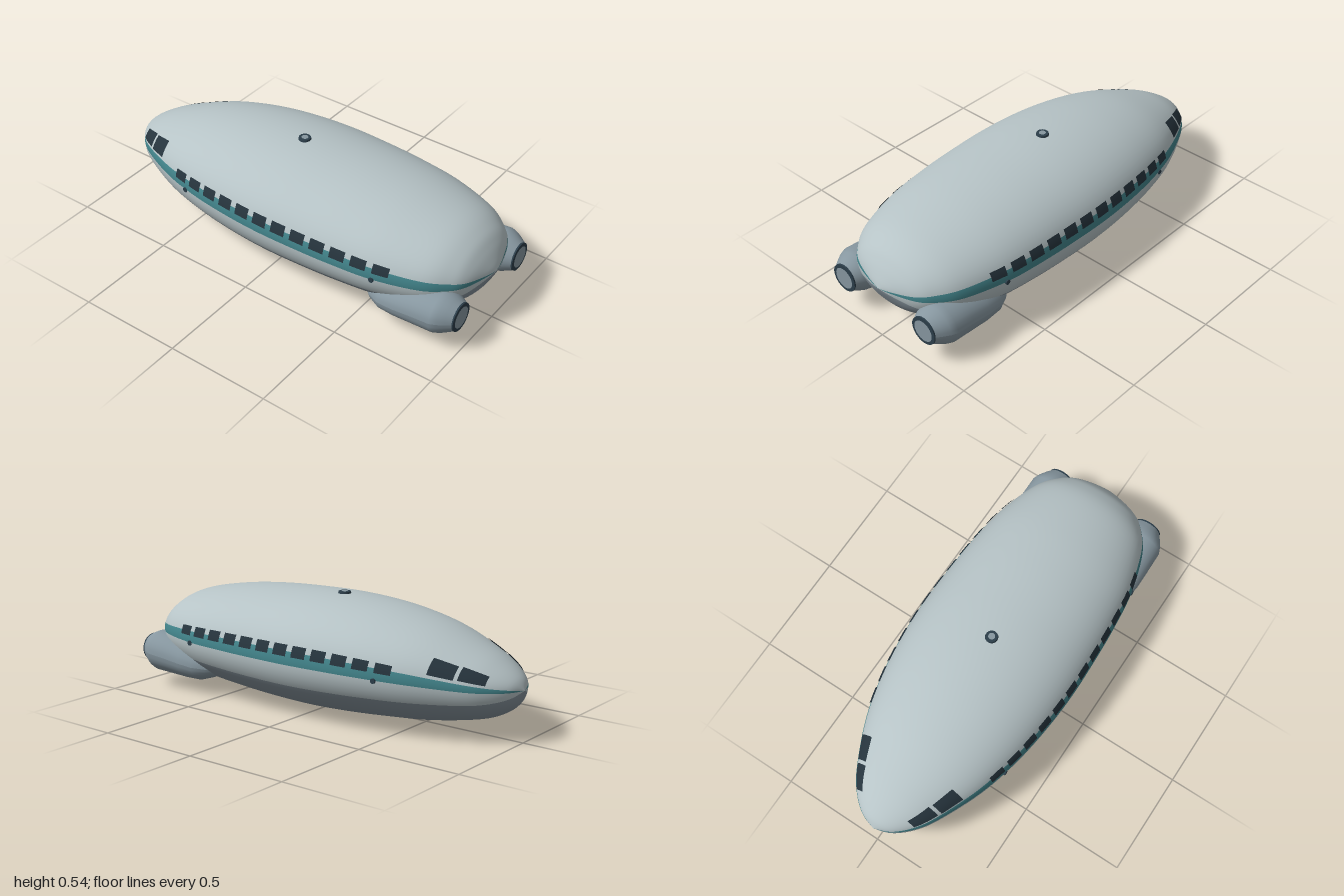
import * as THREE from 'three';

const mat = (name, color, side = THREE.FrontSide) => {
  const m = new THREE.MeshStandardMaterial({ color, side });
  m.name = name;
  return m;
};

// Hull stations from nose to tail: z, half width, top, middle, bottom
const STATIONS = [
  [1, 0, 0.27, 0.27, 0.27],
  [0.985, 0.075, 0.305, 0.27, 0.23],
  [0.95, 0.18, 0.36, 0.27, 0.165],
  [0.9, 0.245, 0.41, 0.27, 0.118],
  [0.8, 0.315, 0.457, 0.271, 0.072],
  [0.6, 0.376, 0.497, 0.272, 0.036],
  [0.4, 0.401, 0.519, 0.273, 0.018],
  [0.2, 0.412, 0.53, 0.273, 0.007],
  [0, 0.415, 0.534, 0.273, 0.003],
  [-0.2, 0.402, 0.526, 0.272, 0.01],
  [-0.4, 0.372, 0.502, 0.268, 0.024],
  [-0.6, 0.318, 0.457, 0.26, 0.042],
  [-0.8, 0.228, 0.383, 0.246, 0.078],
  [-0.9, 0.162, 0.333, 0.24, 0.112],
  [-0.97, 0.082, 0.283, 0.237, 0.165],
  [-1, 0, 0.235, 0.235, 0.235],
];

// Smooth interpolation through the stations
function station(u) {
  const n = STATIONS.length - 1;
  const i = Math.min(Math.floor(u), n - 1), t = u - i;
  const at = (k) => STATIONS[Math.max(0, Math.min(n, k))];
  return STATIONS[0].map((_, c) => {
    const [a, b, d, e] = [at(i - 1)[c], at(i)[c], at(i + 1)[c], at(i + 2)[c]];
    const m0 = (d - a) / 2, m1 = (e - b) / 2, t2 = t * t, t3 = t2 * t;
    return (2 * t3 - 3 * t2 + 1) * b + (t3 - 2 * t2 + t) * m0 + (3 * t2 - 2 * t3) * d + (t3 - t2) * m1;
  });
}

function stationAtZ(z) {
  let lo = 0, hi = STATIONS.length - 1;
  for (let k = 0; k < 30; k++) {
    const mid = (lo + hi) / 2;
    if (station(mid)[0] > z) lo = mid; else hi = mid;
  }
  return station(lo);
}

function hullPoint([z, w, top, mid, bottom], angle, lift = 0) {
  const s = Math.sin(angle), h = s > 0 ? top - mid : mid - bottom;
  return [(w + lift) * Math.cos(angle), mid + (h + lift) * s, z];
}

// Skin over rows of points; slot(j) gives the material index of column j
function skin(rows, slot = () => 0) {
  const n = rows[0].length, geo = new THREE.BufferGeometry();
  geo.setAttribute('position', new THREE.Float32BufferAttribute(rows.flat(2), 3));
  const faces = [];
  for (let j = 0; j < n - 1; j++) {
    const k = slot(j);
    faces[k] ??= [];
    for (let i = 0; i < rows.length - 1; i++) {
      const a = i * n + j, c = a + n;
      faces[k].push(a, c, a + 1, a + 1, c, c + 1);
    }
  }
  let start = 0;
  faces.forEach((f, k) => { geo.addGroup(start, f.length, k); start += f.length; });
  geo.setIndex(faces.flat());
  geo.computeVertexNormals();
  return geo;
}

export function createModel() {
  const paint = mat('pale hull', 0xb6c3c6);
  const belly = mat('grey belly', 0x84919a);
  const teal = mat('teal stripe', 0x42848b);
  const metal = mat('engine grey', 0x8797a0);
  const navy = mat('dark trim', 0x2c3e4a);
  const glass = mat('dark glass', 0x26343d, THREE.DoubleSide);

  const model = new THREE.Group();
  const add = (name, geo, material, parent = model) => {
    const m = new THREE.Mesh(geo, material);
    m.name = name;
    parent.add(m);
    return m;
  };

  // Hull, with colour bands running from nose to tail
  const low = -Math.asin(0.39), high = Math.asin(0.235), q = Math.PI / 2;
  const bands = [
    [-q, low, 1, 12], [low, 0, 0, 4], [0, high, 2, 3], [high, q, 0, 13],
    [q, Math.PI - high, 0, 13], [Math.PI - high, Math.PI, 2, 3],
    [Math.PI, Math.PI - low, 0, 4], [Math.PI - low, 3 * q, 1, 12],
  ];
  const angles = [-q], slots = [];
  for (const [from, to, slot, count] of bands) {
    for (let k = 1; k <= count; k++) {
      angles.push(from + (to - from) * k / count);
      slots.push(slot);
    }
  }
  const rows = [], steps = 6;
  for (let i = 0; i <= (STATIONS.length - 1) * steps; i++) {
    const s = station(i / steps);
    rows.push(angles.map((a) => hullPoint(s, a)));
  }
  add('hull', skin(rows, (j) => slots[j]), [paint, belly, teal]);

  // Window panes laid on the hull, s is the sine of the section angle
  function pane(name, z0, z1, s0, s1, side) {
    const grid = [];
    for (let i = 0; i <= 4; i++) {
      const s = stationAtZ(z0 + (z1 - z0) * i / 4), row = [];
      for (let j = 0; j <= 4; j++) {
        const p = hullPoint(s, Math.asin(s0 + (s1 - s0) * j / 4), 0.005);
        row.push([p[0] * side, p[1], p[2]]);
      }
      grid.push(row);
    }
    add(name, skin(grid), glass);
  }

  for (const side of [1, -1]) {
    const label = side > 0 ? 'left' : 'right';
    for (let k = 0; k < 12; k++) {
      const z = 0.636 - 0.1036 * k;
      pane(label + 'CabinWindow' + (k + 1), z + 0.037, z - 0.037, 0.15, 0.335, side);
    }
    pane(label + 'CockpitWindowA', -0.682, -0.785, 0.31, 0.66, side);
    pane(label + 'CockpitWindowB', -0.8, -0.9, 0.33, 0.68, side);

    // Small round side ports
    for (const z of [0.6, -0.465]) {
      const [, w, , mid] = stationAtZ(z);
      const port = add(label + 'SidePort', new THREE.CylinderGeometry(0.012, 0.012, 0.02, 14), navy);
      port.rotation.z = q;
      port.position.set(side * (w - 0.005), mid - 0.002, z);
    }

    // Engine pod: z, centre x, centre y, x radius, y radius
    const engine = new THREE.Group();
    engine.name = label + 'Engine';
    model.add(engine);
    const pod = [
      [0.975, 0.25, 0.17, 0.068, 0.067], [0.95, 0.252, 0.17, 0.084, 0.08],
      [0.92, 0.255, 0.169, 0.1, 0.094], [0.89, 0.258, 0.168, 0.109, 0.1],
      [0.8, 0.26, 0.162, 0.108, 0.096], [0.7, 0.26, 0.151, 0.108, 0.088],
      [0.62, 0.258, 0.141, 0.1, 0.077], [0.56, 0.256, 0.135, 0.072, 0.052],
      [0.52, 0.252, 0.133, 0.04, 0.025], [0.5, 0.25, 0.133, 0, 0],
    ];
    const podRows = pod.map(([z, x, y, rx, ry]) => Array.from({ length: 33 }, (_, j) => {
      const a = j / 16 * Math.PI * side;
      return [side * x + side * rx * Math.cos(a * side), y + ry * Math.sin(a * side), z];
    }));
    if (side < 0) podRows.forEach((r) => r.reverse());
    add('pod', skin(podRows), metal, engine);

    const lip = add('intakeLip', new THREE.CylinderGeometry(0.068, 0.068, 0.014, 32), navy, engine);
    lip.rotation.x = q;
    lip.position.set(side * 0.25, 0.17, 0.974);
    const face = add('intakeFace', new THREE.CircleGeometry(0.052, 32), metal, engine);
    face.position.set(side * 0.25, 0.17, 0.983);
  }

  // Roof hatch
  const hatch = new THREE.Group();
  hatch.name = 'roofHatch';
  hatch.position.set(0, 0.536, -0.035);
  model.add(hatch);
  add('hatchRim', new THREE.CylinderGeometry(0.028, 0.031, 0.012, 24), navy, hatch);
  const lid = add('hatchLid', new THREE.CircleGeometry(0.016, 24), metal, hatch);
  lid.rotation.x = -q;
  lid.position.y = 0.007;

  return model;
}
